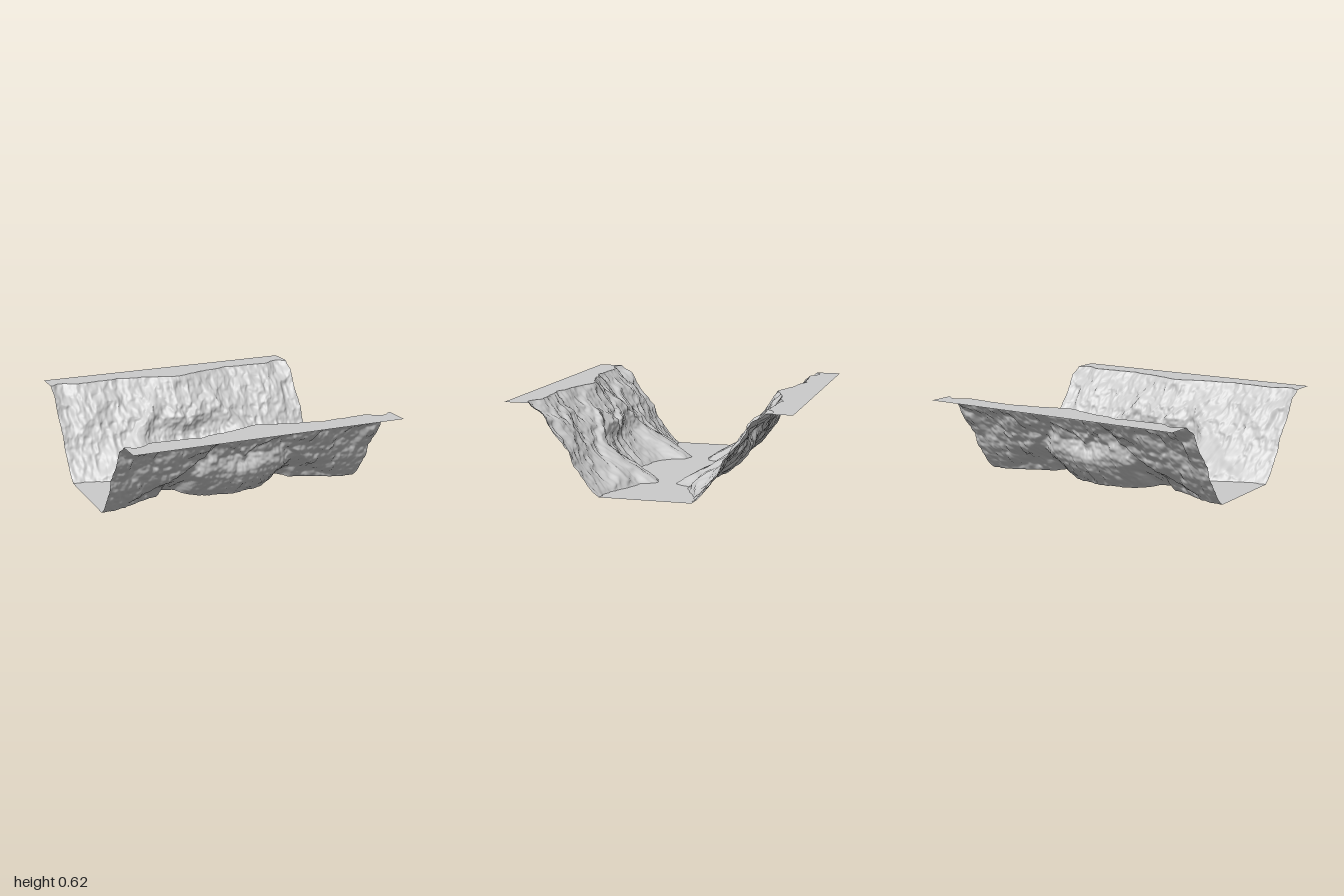
import * as THREE from 'three';

const HEIGHT = 0.625;
const COLUMNS = 280;
const WALL_ROWS = 80;

// Outline tables as [|x|, |z|] pairs, and the mean wall section as [y, |z|]
const FOOT = [[0, 0.33], [0.15, 0.31], [0.25, 0.28], [0.31, 0.24], [0.335, 0.18], [0.355, 0.11], [0.38, 0.085],
  [0.42, 0.075], [0.47, 0.08], [0.5, 0.11], [0.53, 0.17], [0.58, 0.19], [0.64, 0.2], [0.72, 0.25], [0.8, 0.29],
  [0.9, 0.32], [1, 0.32]];
const RIM = [[0, 0.7], [0.1, 0.735], [0.2, 0.765], [0.3, 0.79], [0.4, 0.8], [0.46, 0.83], [0.53, 0.81], [0.65, 0.81],
  [0.75, 0.8], [0.84, 0.81], [0.9, 0.855], [0.95, 0.85], [1, 0.82]];
const SECTION = [[0, 0.32], [0.07, 0.395], [0.14, 0.455], [0.2, 0.49], [0.29, 0.535], [0.36, 0.575], [0.44, 0.635],
  [0.55, 0.725], [HEIGHT, 0.79]];
// Ledges crossing the wall as [|x|, y]
const DIAGONAL_LEDGE = [[0, 0.34], [0.06, 0.39], [0.12, 0.44], [0.2, 0.49], [0.26, 0.46], [0.35, 0.36], [0.45, 0.27],
  [0.7, 0.08], [1, -0.1]];
const UPPER_LEDGE = [[0, 0.75], [0.35, 0.44], [0.45, 0.43], [0.53, 0.53], [0.65, 0.55], [0.72, 0.48], [0.85, 0.52],
  [1, 0.58]];

const { lerp, clamp, smoothstep: smooth } = THREE.MathUtils;

function lookup(table, x) {
  let i = 1;
  while (i < table.length - 1 && x > table[i][0]) i++;
  const [x0, a] = table[i - 1], [x1, b] = table[i];
  return lerp(a, b, clamp((x - x0) / (x1 - x0), 0, 1));
}

// Seeded value noise in the range -1 to 1
function hash(i, j) {
  const s = Math.sin(i * 127.1 + j * 311.7 + 17.3) * 43758.5453;
  return (s - Math.floor(s)) * 2 - 1;
}

function noise(x, y) {
  const i = Math.floor(x), j = Math.floor(y);
  const u = smooth(x - i, 0, 1), v = smooth(y - j, 0, 1);
  return lerp(lerp(hash(i, j), hash(i + 1, j), u), lerp(hash(i, j + 1), hash(i + 1, j + 1), u), v);
}

// Broad lumps, kept away from the foot and rim
function boulders(x, y) {
  return 0.016 * noise(x * 7, y * 5) + 0.022 * (Math.abs(noise(x * 12, y * 9 + 9)) - 0.4);
}

// Fine cracks and crumbling, carried right to the edges
function crumble(x, y) {
  return 0.012 * (Math.abs(noise(x * 22, y * 15 + 21)) - 0.4) + 0.007 * noise(x * 32, y * 26 + 33)
    + 0.004 * noise(x * 60, y * 45 + 51);
}

// A shelf: rock below the line stands out into the canyon and fades downwards
function ledge(line, x, y, depth) {
  const below = lookup(line, x) - y + 0.014 * noise(x * 25, 5) + 0.008 * noise(x * 55, 8);
  return -depth * smooth(below, -0.015, 0.02) * (1 - smooth(below, 0.02, 0.2));
}

// Distance of the cliff face from the canyon's centre line
function cliffZ(xSigned, t) {
  const y = t * HEIGHT;
  // Warp makes the outlines and ledges irregular
  const ax = Math.abs(xSigned);
  const x = ax + 0.012 * noise(ax * 14, y * 14 + 70) * smooth(ax, 0, 0.05);
  const footShift = (lookup(FOOT, x) - 0.32) * (1 - smooth(t, 0, 0.46));
  const rimShift = (lookup(RIM, x) - 0.79) * smooth(t, 0.25, 1);
  const inside = smooth(t, 0, 0.12) * (1 - smooth(t, 0.88, 1));
  const shelves = ledge(DIAGONAL_LEDGE, x, y, 0.032) + ledge(UPPER_LEDGE, x, y, 0.022);
  // Narrow gully down the middle of the wall
  const gully = 0.025 * (1 - smooth(ax, 0, 0.06));
  return lookup(SECTION, y) + footShift + rimShift + (shelves + gully) * inside
    + boulders(x, y) * (0.25 + 0.75 * inside) + crumble(x, y);
}

const material = new THREE.MeshStandardMaterial({ color: 0xcccccc, side: THREE.DoubleSide });

// Sheet spanning the full width; rows run from front to back
function sheet(name, rows, point) {
  const positions = [], index = [];
  for (let j = 0; j <= rows; j++) {
    for (let i = 0; i <= COLUMNS; i++) {
      const x = -1 + (2 * i) / COLUMNS;
      const [y, z] = point(x, j / rows);
      positions.push(x, y, z);
    }
  }
  for (let j = 0; j < rows; j++) {
    for (let i = 0; i < COLUMNS; i++) {
      const a = j * (COLUMNS + 1) + i, d = a + COLUMNS + 1;
      index.push(a, a + 1, d + 1, a, d + 1, d);
    }
  }
  const geometry = new THREE.BufferGeometry();
  geometry.setAttribute('position', new THREE.Float32BufferAttribute(positions, 3));
  geometry.setIndex(index);
  geometry.computeVertexNormals();
  const mesh = new THREE.Mesh(geometry, material);
  mesh.name = name;
  return mesh;
}

export function createModel() {
  const canyon = new THREE.Group();
  canyon.name = 'canyon';
  canyon.add(
    // Flat ground above the cliffs
    sheet('frontPlateau', 1, (x, s) => [HEIGHT, lerp(1, cliffZ(x, 1), s)]),
    sheet('backPlateau', 1, (x, s) => [HEIGHT, lerp(-cliffZ(x, 1), -1, s)]),
    // Rocky walls, mirrored across the canyon
    sheet('frontCliff', WALL_ROWS, (x, s) => [(1 - s) * HEIGHT, cliffZ(x, 1 - s)]),
    sheet('backCliff', WALL_ROWS, (x, s) => [s * HEIGHT, -cliffZ(x, s)]),
    // Flat canyon bottom
    sheet('canyonFloor', 1, (x, s) => [0, cliffZ(x, 0) * (1 - 2 * s)]),
  );
  return canyon;
}
